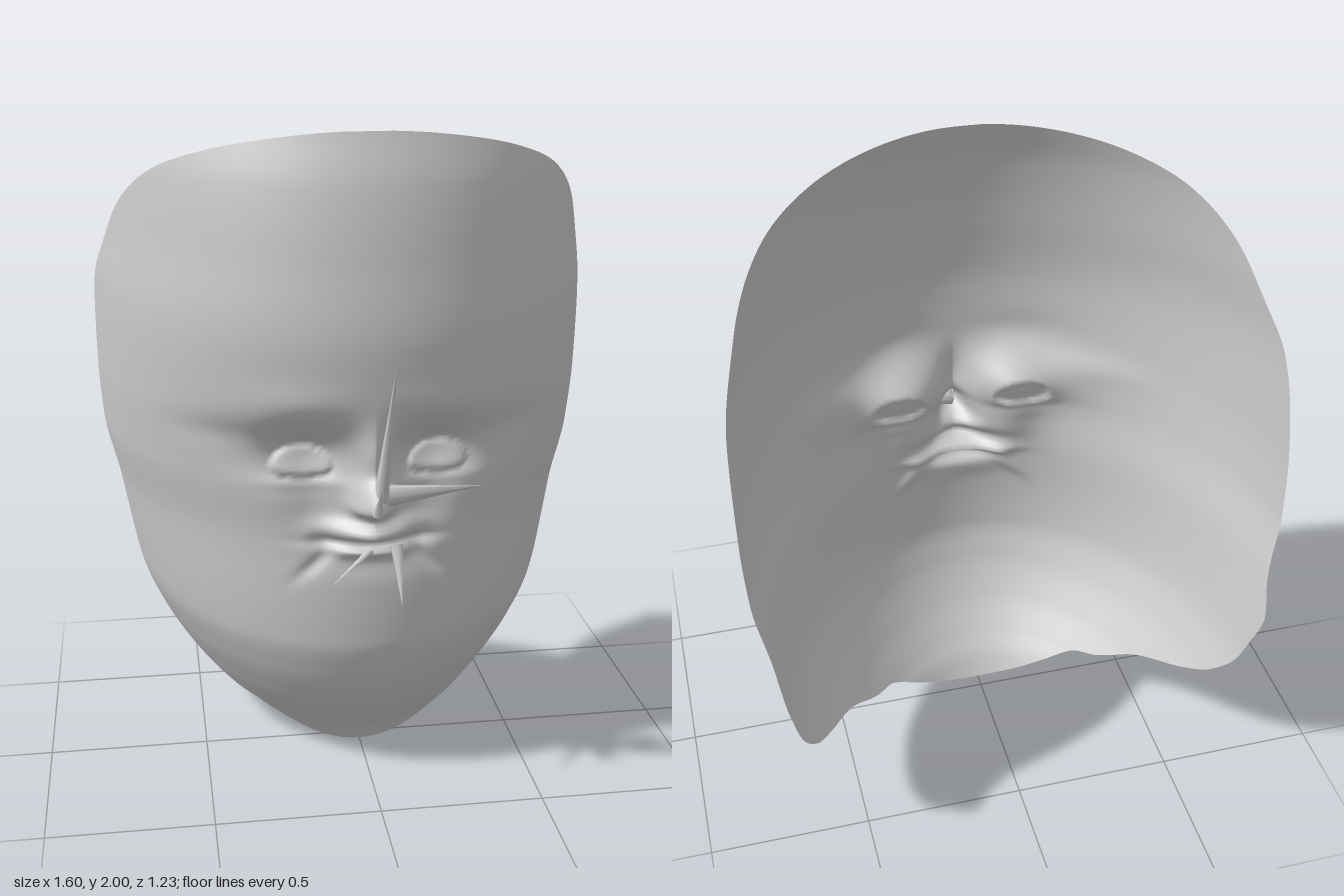
import * as THREE from 'three';

const material = new THREE.MeshStandardMaterial({ color: 0xcccccc, side: THREE.DoubleSide });

// Profiles as [height, value]: depth of the centre line, half width of the head, depth of the rim
const centreLine = [
  [0.005, 0.045], [0.07, 0.09], [0.13, 0.145], [0.23, 0.225], [0.36, 0.293], [0.48, 0.325],
  [0.6, 0.328], [0.8, 0.322], [1.0, 0.34], [1.2, 0.366], [1.4, 0.377], [1.65, 0.346],
  [1.85, 0.305], [2.0, 0.25],
];
const headWidth = [
  [0.005, 0.49], [0.13, 0.53], [0.24, 0.58], [0.36, 0.638], [0.5, 0.69], [0.65, 0.72],
  [0.8, 0.748], [1.0, 0.79], [1.2, 0.8], [1.48, 0.801], [1.7, 0.788], [2.0, 0.785],
];
const rimDepth = [
  [0.005, 0.0445], [0.03, 0.025], [0.07, 0.0], [0.13, -0.04], [0.15, -0.1], [0.22, -0.2],
  [0.3, -0.37], [0.37, -0.47], [0.48, -0.55], [0.57, -0.58], [0.69, -0.615], [0.8, -0.56],
  [0.9, -0.53], [1.03, -0.51], [1.2, -0.485], [1.35, -0.45], [1.5, -0.385], [1.6, -0.3],
  [1.75, -0.18], [1.87, -0.03], [1.94, 0.11], [1.985, 0.215], [2.0, 0.247],
];
const DEPTH = 0.9; // front to back radius of the head

// Smooth interpolation of a profile without overshoot
function sample(points, y) {
  const n = points.length;
  const slope = (i) => (points[i + 1][1] - points[i][1]) / (points[i + 1][0] - points[i][0]);
  const tangent = (i) => {
    if (i === 0) return slope(0);
    if (i === n - 1) return slope(n - 2);
    const a = slope(i - 1), b = slope(i);
    return a * b <= 0 ? 0 : (2 * a * b) / (a + b);
  };
  let i = 0;
  while (i < n - 2 && y > points[i + 1][0]) i++;
  const h = points[i + 1][0] - points[i][0];
  const t = (y - points[i][0]) / h, t2 = t * t, t3 = t2 * t;
  return (2 * t3 - 3 * t2 + 1) * points[i][1] + (t3 - 2 * t2 + t) * h * tangent(i)
    + (3 * t2 - 2 * t3) * points[i + 1][1] + (t3 - t2) * h * tangent(i + 1);
}

// Soft bumps and hollows, mirrored in x: [x, y, spread x, spread y, height]
const features = [
  [0.17, 1.07, 0.085, 0.07, -0.09],    // eye socket
  [0.3, 1.07, 0.12, 0.06, -0.025],     // outer socket
  [0.43, 1.13, 0.1, 0.035, -0.012],    // crease beside the eye
  [0.22, 1.235, 0.11, 0.04, 0.01],     // brow
  [0.2, 0.985, 0.08, 0.014, 0.01],     // lower lid
  [0.15, 0.9, 0.07, 0.07, -0.035],     // pinched cheek
  [0.0, 0.845, 0.085, 0.022, 0.07],    // upper lip
  [0.0, 0.78, 0.09, 0.012, 0.03],      // lower lip
  [0.0, 0.806, 0.1, 0.008, -0.025],    // mouth slit
  [0.14, 0.795, 0.03, 0.025, -0.02],   // mouth corner
  [0.0, 0.95, 0.032, 0.035, 0.14],     // nose tip
  [0.045, 0.925, 0.018, 0.018, 0.03],  // nostril wing
  [0.0, 1.07, 0.035, 0.06, 0.035],     // nose bridge
  [0.0, 0.735, 0.12, 0.025, -0.008],   // crease under the lip
];

function relief(x, y) {
  const ax = Math.abs(x);
  let d = 0;
  for (const [cx, cy, sx, sy, h] of features) {
    d += h * Math.exp(-(((ax - cx) / sx) ** 2 + ((y - cy) / sy) ** 2) / 2);
  }
  // Domed eye, rounder above than below
  const eyeY = (y - 1.03) / (y > 1.03 ? 0.065 : 0.03);
  d += 0.032 * Math.sqrt(Math.max(0, 1 - ((ax - 0.205) / 0.092) ** 2 - eyeY ** 2));
  // Fold running down and out from the mouth corner
  const along = (ax - 0.13) * 0.75 - (y - 0.77) * 0.66;
  const across = (ax - 0.13) * 0.66 + (y - 0.77) * 0.75;
  return d - 0.012 * Math.exp(-(((along - 0.06) / 0.07) ** 2) - (across / 0.02) ** 2);
}

// Face sheet: elliptical arcs stacked upwards, each ending at the rim
function faceGeometry(cols = 220, rows = 300) {
  const positions = [], indices = [];
  for (let j = 0; j <= rows; j++) {
    const y = 1.0025 - 0.9975 * Math.cos((Math.PI * j) / rows);
    const front = sample(centreLine, y), width = sample(headWidth, y);
    const limit = Math.acos(1 - (front - sample(rimDepth, y)) / DEPTH);
    for (let i = 0; i <= cols; i++) {
      const u = (2 * i) / cols - 1;
      const a = limit * Math.sign(u) * Math.abs(u) ** 1.3;
      const x = width * Math.sin(a);
      positions.push(x, y, front - DEPTH * (1 - Math.cos(a)) + relief(x, y));
      if (i < cols && j < rows) {
        const p = j * (cols + 1) + i, q = p + cols + 1;
        indices.push(p, p + 1, q + 1, p, q + 1, q);
      }
    }
  }
  const geometry = new THREE.BufferGeometry();
  geometry.setAttribute('position', new THREE.Float32BufferAttribute(positions, 3));
  geometry.setIndex(indices);
  geometry.computeVertexNormals();
  return geometry;
}

// Thin sharp spike between a base and a tip, optionally flattened across x
function spike(name, base, tip, radius, flat = 1) {
  const from = new THREE.Vector3(...base), to = new THREE.Vector3(...tip);
  const dir = to.clone().sub(from);
  const geometry = new THREE.ConeGeometry(radius, dir.length(), 6, 1, true);
  geometry.scale(flat, 1, 1);
  const mesh = new THREE.Mesh(geometry, material);
  mesh.name = name;
  mesh.position.copy(from).add(to).multiplyScalar(0.5);
  mesh.quaternion.setFromUnitVectors(new THREE.Vector3(0, 1, 0), dir.normalize());
  return mesh;
}

export function createModel() {
  const group = new THREE.Group();
  group.name = 'faceMask';

  const face = new THREE.Mesh(faceGeometry(), material);
  face.name = 'faceSheet';
  group.add(face);

  // Spikes drawn out of the nose and mouth
  group.add(
    spike('noseUpperSpike', [0.012, 0.98, 0.4], [0.018, 1.435, 0.615], 0.045, 0.45),
    spike('noseSideSpike', [0.0, 0.98, 0.4], [0.31, 0.992, 0.385], 0.036),
    spike('noseFrontSpike', [-0.008, 0.95, 0.47], [-0.005, 1.035, 0.508], 0.018),
    spike('mouthLeftSpike', [0.064, 0.81, 0.36], [0.066, 0.653, 0.46], 0.02),
    spike('mouthRightSpike', [-0.01, 0.795, 0.35], [-0.13, 0.705, 0.39], 0.012),
  );
  return group;
}
